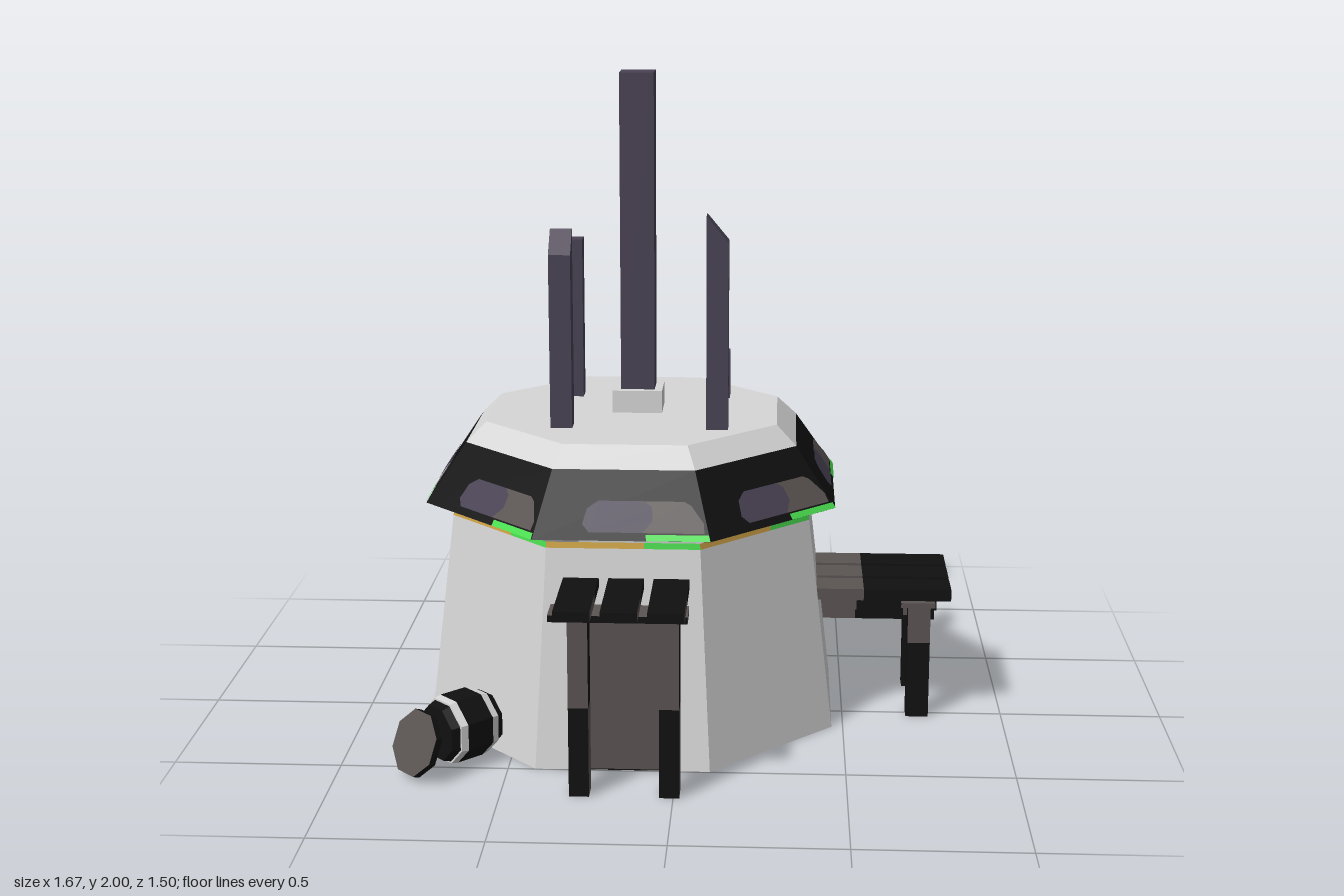
import * as THREE from 'three';

const mat = (name, color, side = THREE.FrontSide) =>
  Object.assign(new THREE.MeshStandardMaterial({ color, side, flatShading: true }), { name });

export function createModel() {
  const both = THREE.DoubleSide;
  const light = mat('pale plaster', 0xd6d6d6, both);
  const black = mat('black metal', 0x101010, both);
  const grey = mat('worn grey', 0x5a5452, both);
  const purple = mat('dusk purple', 0x494254, both);
  const green = mat('signal green', 0x4ade50, both);
  const amber = mat('amber', 0xd2a648, both);

  const model = new THREE.Group();
  model.name = 'outpost';
  const add = (parent, name, geometry, material) => {
    const mesh = new THREE.Mesh(geometry, material);
    mesh.name = name;
    parent.add(mesh);
    return mesh;
  };
  // Box given by its ranges along x, y and z
  const box = (parent, name, [x0, x1], [y0, y1], [z0, z1], material) => {
    const mesh = add(parent, name, new THREE.BoxGeometry(x1 - x0, y1 - y0, z1 - z0), material);
    mesh.position.set((x0 + x1) / 2, (y0 + y1) / 2, (z0 + z1) / 2);
    return mesh;
  };

  // Octagonal tower: each side is drawn once and turned around the axis
  const T = Math.tan(Math.PI / 8);
  const tower = new THREE.Group();
  tower.name = 'tower';
  tower.position.set(-0.16, 0, -0.128);
  model.add(tower);

  // Flat polygon on a sloping side; u runs -1..1 across it, y is the height
  const panel = (parent, name, [y0, a0, y1, a1], points, material, lift = 0) => {
    const pos = [], index = [];
    points.forEach(([u, y], i) => {
      const a = a0 + (a1 - a0) * (y - y0) / (y1 - y0);
      pos.push(u * a * T, y + lift * 0.5, a + lift);
      if (i > 1) index.push(0, i - 1, i);
    });
    const g = new THREE.BufferGeometry();
    g.setAttribute('position', new THREE.Float32BufferAttribute(pos, 3));
    g.setIndex(index);
    g.computeVertexNormals();
    return add(parent, name, g, material);
  };
  const strip = (u0, u1, y0, y1) => [[u0, y0], [u1, y0], [u1, y1], [u0, y1]];

  const wall = [0, 0.625, 0.68, 0.545];
  const band = [0.71, 0.625, 0.89, 0.505];
  const cornice = [0.89, 0.505, 0.95, 0.445];
  for (let i = 0; i < 8; i++) {
    const side = new THREE.Group();
    side.name = 'towerSide';
    side.rotation.y = i * Math.PI / 4;
    tower.add(side);
    panel(side, 'wall', wall, strip(-1, 1, 0, 0.662), light);
    panel(side, 'amberTrim', wall, strip(-1, 0.27, 0.662, 0.68), amber);
    panel(side, 'greenTrim', wall, strip(0.27, 1, 0.662, 0.68), green);
    panel(side, 'roofBand', band, strip(-1, 1, 0.71, 0.89), black);
    panel(side, 'roofCornice', cornice, strip(-1, 1, 0.89, 0.95), light);
    panel(side, 'roofLight', band, strip(0.28, 1, 0.71, 0.726), green, 0.003);
    panel(side, 'greyWindow', band, [[0.2, 0.73], [0.95, 0.73], [0.97, 0.755],
      [0.86, 0.8], [0.78, 0.81], [0.2, 0.81]], grey, 0.003);
    panel(side, 'purpleWindow', band, [[-0.37, 0.73], [0.24, 0.73], [0.37, 0.76],
      [0.37, 0.795], [0.28, 0.81], [-0.3, 0.81], [-0.43, 0.79], [-0.46, 0.75]], purple, 0.005);
  }
  // Flat roof top
  const top = add(tower, 'roofTop', new THREE.CircleGeometry(0.445 / Math.cos(Math.PI / 8), 8, Math.PI / 8), light);
  top.rotation.x = -Math.PI / 2;
  top.position.y = 0.95;

  // Roof masts
  box(model, 'mastBase', [-0.227, -0.073], [0.94, 1.02], [-0.227, -0.073], light);
  box(model, 'mainMast', [-0.202, -0.097], [1.0, 2], [-0.202, -0.097], purple);
  // x, z, width, top, drop towards +x, drop towards +z
  const masts = [
    [-0.367, 0.097, 0.066, 1.55, 0, 0.07],
    [0.105, 0.097, 0.066, 1.6, 0.08, 0],
    [-0.367, -0.315, 0.06, 1.46, 0, 0],
    [0.105, -0.315, 0.056, 1.1, 0, 0],
  ];
  for (const [x, z, w, h, dropX, dropZ] of masts) {
    const r = w / 2;
    const mast = box(model, 'mast', [x - r, x + r], [0.94, h], [z - r, z + r], purple);
    const p = mast.geometry.attributes.position;
    for (let i = 0; i < p.count; i++) {
      if (p.getY(i) < 0) continue;
      p.setY(i, p.getY(i) - (p.getX(i) > 0 ? dropX : 0) - (p.getZ(i) > 0 ? dropZ : 0));
    }
    mast.geometry.computeVertexNormals();
  }

  // Door: an upright panel in a frame that cuts through the sloping wall
  const door = new THREE.Group();
  door.name = 'door';
  model.add(door);
  box(door, 'doorPanel', [-0.31, -0.02], [0.01, 0.48], [0.502, 0.51], grey);
  for (const x of [-0.312, -0.026]) box(door, 'doorJamb', [x, x + 0.008], [0.01, 0.482], [0.41, 0.509], black);
  for (const y of [0.006, 0.476]) box(door, 'doorRail', [-0.312, -0.018], [y, y + 0.008], [0.41, 0.509], black);

  // Porch over the door; material order is +x -x +y -y +z -z
  const porch = new THREE.Group();
  porch.name = 'porch';
  model.add(porch);
  for (const x of [-0.335, -0.202, -0.069]) {
    const xs = [x, x + 0.105];
    box(porch, 'porchPlankInner', xs, [0.55, 0.578], [0.44, 0.59], black);
    box(porch, 'porchPlankOuter', xs, [0.55, 0.578], [0.59, 0.745], [grey, grey, black, grey, black, black]);
  }
  box(porch, 'porchBeam', [-0.355, 0.042], [0.53, 0.55], [0.595, 0.695], [grey, grey, grey, black, black, black]);
  for (const x of [-0.3, -0.04]) {
    const xs = [x, x + 0.058], zs = [0.62, 0.69];
    box(porch, 'porchPostLower', xs, [0, 0.27], zs, [grey, grey, black, black, black, black]);
    box(porch, 'porchPostUpper', xs, [0.27, 0.535], zs, [black, black, grey, grey, grey, grey]);
  }

  // Side deck with its stairs
  const deck = new THREE.Group();
  deck.name = 'sideDeck';
  model.add(deck);
  const board = (name, y, z0, z1) => {
    box(deck, name + 'Inner', [0.375, 0.56], [y, y + 0.036], [z0, z1], grey);
    box(deck, name + 'Outer', [0.56, 0.83], [y, y + 0.036], [z0, z1], black);
  };
  for (const z of [-0.045, -0.175, -0.305]) board('deckBoard', 0.393, z, z + 0.108);
  for (let i = 0; i < 4; i++) board('stairStep', 0.298 - i * 0.068, -0.412 - i * 0.104, -0.308 - i * 0.104);
  box(deck, 'deckBeam', [0.675, 0.78], [0.377, 0.393], [-0.31, 0.085], [black, black, grey, black, grey, grey]);
  for (const z of [-0.285, -0.025]) {
    const xs = [0.7, 0.77], zs = [z, z + 0.058];
    box(deck, 'deckPostLower', xs, [0, 0.245], zs, black);
    box(deck, 'deckPostUpper', xs, [0.245, 0.38], zs, [black, black, grey, grey, grey, grey]);
  }

  // Barrel lying on its side, pointing away from the tower, with its lid
  const barrel = new THREE.Group();
  barrel.name = 'barrel';
  barrel.position.set(-0.646, 0.11, 0.436);
  barrel.rotation.y = -Math.PI / 4;
  model.add(barrel);
  const ring = (name, r0, r1, z0, z1, material) => {
    const mesh = add(barrel, name, new THREE.CylinderGeometry(r1, r0, z1 - z0, 8), material);
    mesh.geometry.rotateY(Math.PI / 8);
    mesh.rotation.x = Math.PI / 2;
    mesh.position.z = (z0 + z1) / 2;
  };
  ring('barrelBack', 0.085, 0.095, -0.093, -0.065, black);
  ring('barrelBand', 0.1, 0.104, -0.068, -0.045, light);
  ring('barrelBody', 0.104, 0.104, -0.045, 0.045, black);
  ring('barrelBand', 0.104, 0.1, 0.045, 0.068, light);
  ring('barrelFront', 0.095, 0.085, 0.065, 0.093, black);

  const lid = add(model, 'barrelLid', new THREE.CylinderGeometry(0.1, 0.1, 0.022, 8), [black, grey, light]);
  lid.geometry.rotateY(Math.PI / 8);
  lid.rotation.set(Math.PI / 2 - 0.38, -Math.PI / 4, 0, 'YXZ');
  lid.position.set(-0.757, 0.105, 0.57);

  return model;
}
